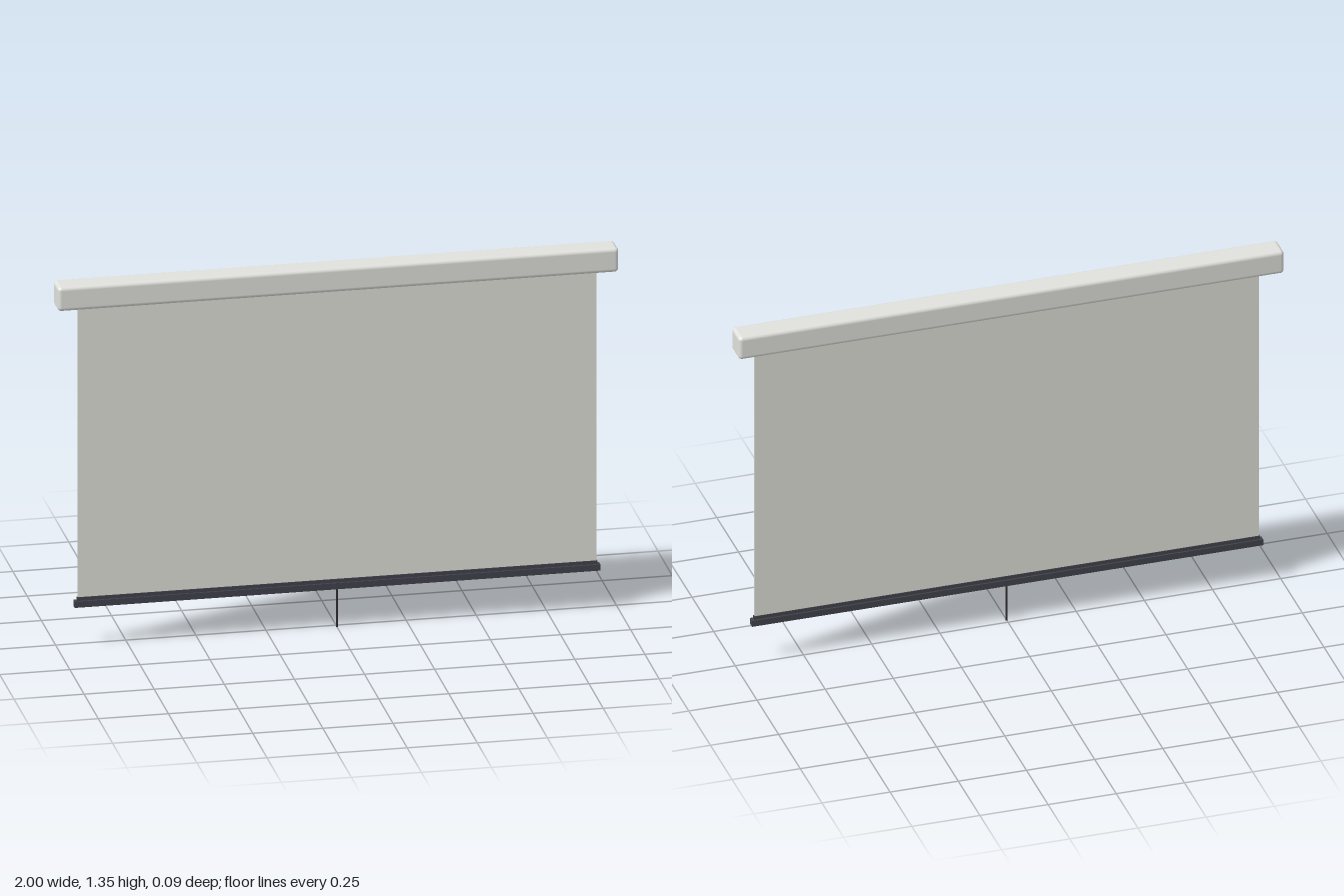
import * as THREE from 'three';
import { RoundedBoxGeometry } from 'three/addons/geometries/RoundedBoxGeometry.js';

const material = (name, color) => {
  const m = new THREE.MeshStandardMaterial({ color });
  m.name = name;
  return m;
};

export function createModel() {
  const group = new THREE.Group();
  group.name = 'projectionScreen';

  const casing = material('casing grey', 0xe0e0dc);
  const fabric = material('screen fabric', 0xe0e0d9);
  const dark = material('dark bar', 0x42424c);
  const black = material('cord black', 0x2a2a2e);

  const add = (name, geometry, mat, y, z) => {
    const mesh = new THREE.Mesh(geometry, mat);
    mesh.name = name;
    mesh.position.set(0, y, z);
    group.add(mesh);
  };
  const hangZ = 0.016; // plane in which the fabric hangs

  // Roller housing with softly rounded edges
  add('housing', new RoundedBoxGeometry(2, 0.09, 0.09, 5, 0.014), casing, 1.303, 0);

  // Thin fabric sheet, running up into the housing
  add('screenFabric', new THREE.BoxGeometry(1.85, 1.105, 0.006), fabric, 0.7225, hangZ);

  // Weighted bottom bar and the narrow clamp that grips the fabric
  add('bottomBar', new THREE.BoxGeometry(1.875, 0.023, 0.024), dark, 0.1555, hangZ);
  add('fabricClamp', new THREE.BoxGeometry(1.855, 0.016, 0.011), dark, 0.172, hangZ);

  // Pull cord
  add('pullCord', new THREE.CylinderGeometry(0.004, 0.004, 0.146, 12), black, 0.073, hangZ);

  return group;
}
